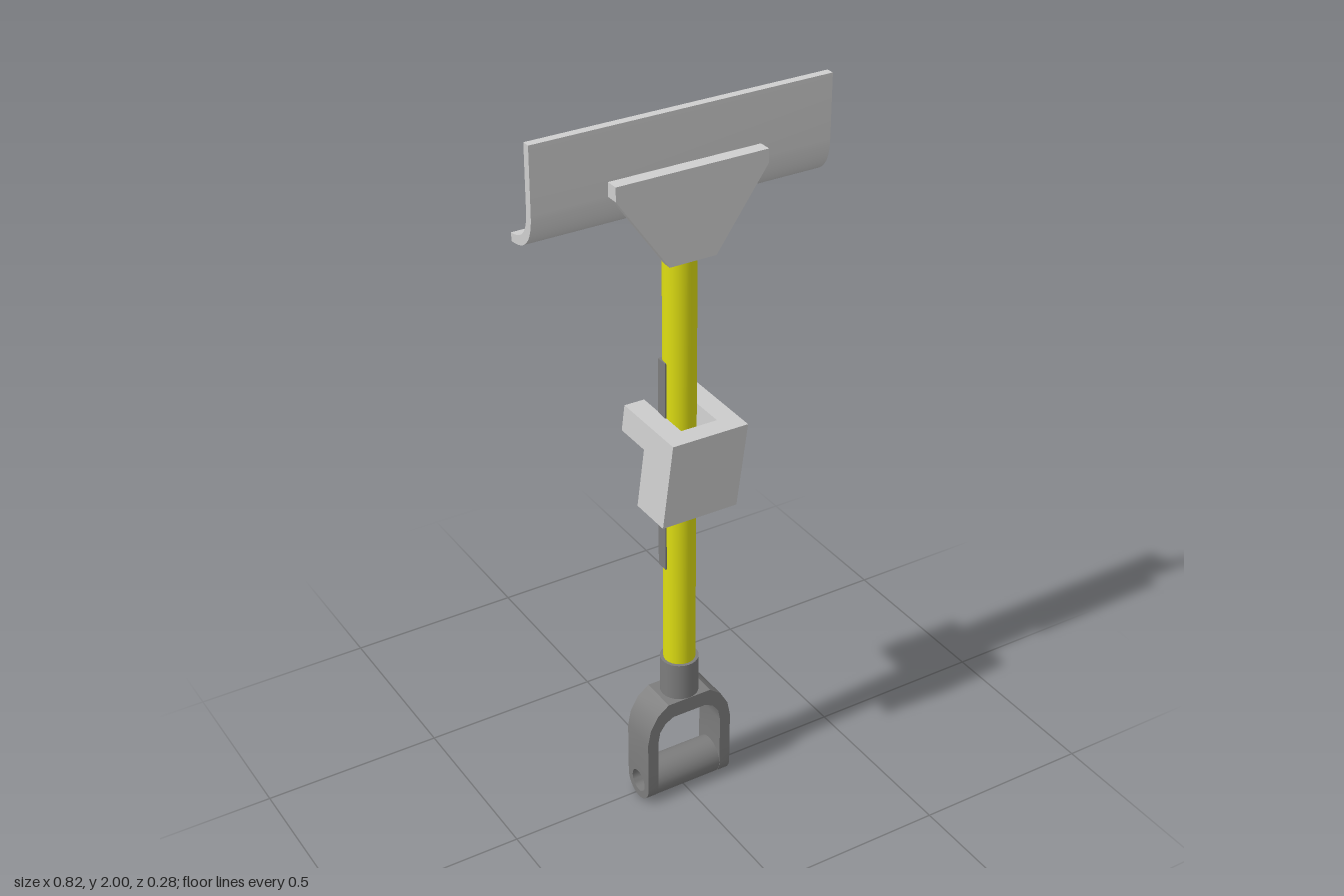
import * as THREE from 'three';
import { toCreasedNormals } from 'three/addons/utils/BufferGeometryUtils.js';

const POLE_Z = 0.016;

export function createModel() {
  const root = new THREE.Group();
  root.name = 'scraperTool';

  const mat = (name, color) => {
    const m = new THREE.MeshStandardMaterial({ color });
    m.name = name;
    return m;
  };
  const yellow = mat('poleYellow', 0xdede12);
  const dark = mat('plasticGrey', 0x7d7d7d);
  const light = mat('metalGrey', 0xcfcfcf);

  const add = (name, geo, material, x = 0, y = 0, z = 0, parent = root) => {
    const m = new THREE.Mesh(geo, material);
    m.name = name;
    m.position.set(x, y, z);
    parent.add(m);
    return m;
  };
  const polygon = pts => new THREE.Shape(pts.map(p => new THREE.Vector2(...p)));
  // extrusion of an (x, y) outline, centred along z
  const slab = (shape, depth) => {
    const g = new THREE.ExtrudeGeometry(shape, { depth, bevelEnabled: false, curveSegments: 12 });
    return toCreasedNormals(g.translate(0, 0, -depth / 2), 0.6);
  };
  // extrusion of a (z, y) outline, centred along x
  const sideSlab = (shape, width) => slab(shape, width).rotateY(-Math.PI / 2);

  // Pole with a flat strip along its side
  add('pole', new THREE.CylinderGeometry(0.043, 0.043, 1.25, 32), yellow, 0, 1.035, POLE_Z);
  add('poleStrip', new THREE.BoxGeometry(0.01, 0.61, 0.034), dark, -0.041, 1.03, 0.006);

  // D-shaped handle: collar, arch, two eyes and a hollow grip
  const handle = new THREE.Group();
  handle.name = 'handle';
  handle.position.z = POLE_Z;
  root.add(handle);
  add('handleCollar', new THREE.CylinderGeometry(0.052, 0.052, 0.13, 32), dark, 0, 0.365, 0, handle);
  const half = [[0.13, 0.1], [0.13, 0.21], [0.121, 0.255], [0.098, 0.295], [0.065, 0.32]];
  const inner = [[0.05, 0.275], [0.075, 0.262], [0.092, 0.238], [0.098, 0.205], [0.098, 0.1]];
  const mirror = pts => pts.map(([x, y]) => [-x, y]).reverse();
  add('handleArch', slab(polygon([...half, ...mirror(half), ...mirror(inner), ...inner]), 0.106), dark, 0, 0, 0, handle);
  const eye = new THREE.Shape();
  eye.moveTo(0.053, 0.1);
  eye.lineTo(-0.053, 0.1);
  eye.lineTo(-0.053, 0.053);
  eye.absarc(0, 0.053, 0.053, Math.PI, 2 * Math.PI, false);
  eye.closePath();
  const ring = new THREE.Shape().absarc(0, 0.053, 0.0525, 0, 2 * Math.PI, false);
  for (const s of [eye, ring]) s.holes.push(new THREE.Path().absarc(0, 0.053, 0.032, 0, 2 * Math.PI, true));
  for (const side of [1, -1]) add('handleEye', sideSlab(eye, 0.032), dark, side * 0.114, 0, 0, handle);
  add('grip', sideSlab(ring, 0.197), dark, 0, 0, 0, handle);

  // Blade: flat plate curling back into a lip
  const blade = new THREE.Shape();
  blade.moveTo(0.043, 2);
  blade.lineTo(0.021, 2);
  blade.lineTo(0.021, 1.83);
  blade.quadraticCurveTo(0.02, 1.752, -0.058, 1.748);
  blade.lineTo(-0.058, 1.726);
  blade.quadraticCurveTo(0.043, 1.728, 0.043, 1.83);
  blade.closePath();
  add('blade', sideSlab(blade, 0.816), light);

  // Bracket plate with a flange against the blade, and rivets through it
  const plate = [[0.065, 1.625], [0.208, 1.828], [0.208, 1.865]];
  add('bracketPlate', slab(polygon([...plate, ...mirror(plate)]), 0.026), light, 0, 0, 0.065);
  add('bracketFlange', new THREE.BoxGeometry(0.416, 0.037, 0.02), light, 0, 1.8465, 0.05);
  for (const x of [-0.188, -0.083, 0.083, 0.188]) {
    add('rivet', new THREE.CylinderGeometry(0.015, 0.015, 0.026, 16).rotateX(Math.PI / 2), light, x, 1.845, 0.03);
  }

  // Blade socket, its top cut at a slant beneath the blade
  const socket = new THREE.CylinderGeometry(0.053, 0.053, 0.11, 32);
  const p = socket.attributes.position;
  for (let i = 0; i < p.count; i++) if (p.getY(i) > 0) p.setY(i, 0.06 + p.getZ(i) * 0.4);
  socket.computeVertexNormals();
  add('bladeSocket', toCreasedNormals(socket, 0.6), dark, 0, 1.69, POLE_Z);
  for (const s of [1, -1]) {
    const rib = [[0.03, 1.66], [0.05, 1.66], [0.15, 1.77], [0.125, 1.77], [0.03, 1.69]];
    add('socketRib', slab(polygon(s > 0 ? rib : mirror(rib)), 0.035), dark, 0, 0, 0.036);
  }

  // Tilted clamp block around the pole, with fingers at the back
  const clamp = new THREE.Group();
  clamp.name = 'clamp';
  clamp.position.set(0.003, 1.055, 0);
  clamp.rotation.set(0.09, 0.07, -0.07);
  root.add(clamp);
  add('clampFront', new THREE.BoxGeometry(0.23, 0.245, 0.05), light, 0, 0, 0.097, clamp);
  const h = 0.1225;
  const fingers = [
    [0.073, -h], [0.073, h], [-0.122, h], [-0.122, 0.058], [-0.044, 0.058], [-0.044, 0.032],
    [-0.122, 0.032], [-0.122, -0.033], [-0.044, -0.033], [-0.044, -0.062], [-0.122, -0.062], [-0.122, -h],
  ];
  const hook = [[0.073, -h], [0.073, h], [-0.088, h], [-0.088, 0.048], [0.01, 0.048], [0.01, -h]];
  add('fingerWall', sideSlab(polygon(fingers), 0.06), light, 0.085, 0, 0, clamp);
  add('hookWall', sideSlab(polygon(hook), 0.06), light, -0.085, 0, 0, clamp);

  return root;
}
